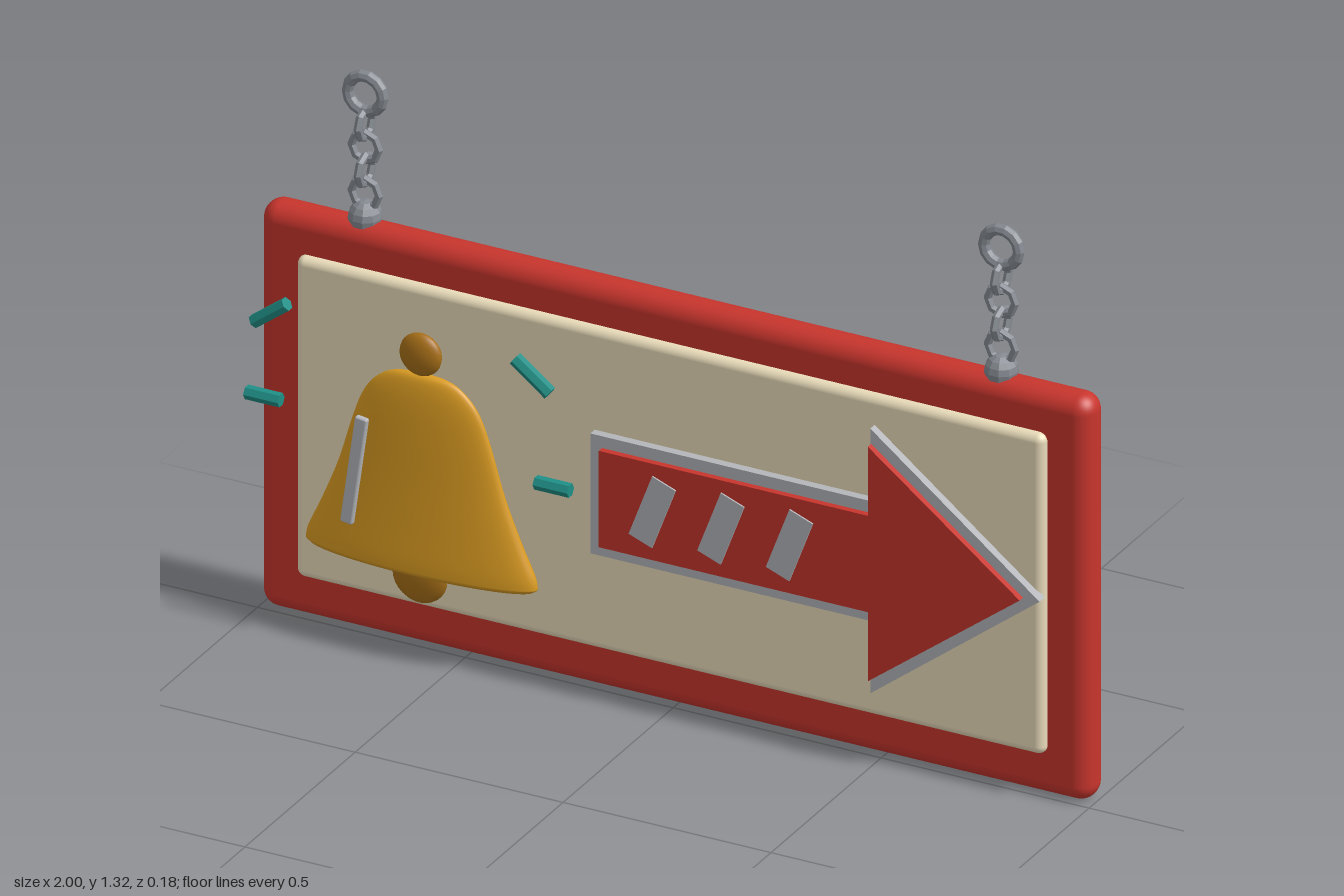
import * as THREE from 'three';
import { RoundedBoxGeometry } from 'three/addons/geometries/RoundedBoxGeometry.js';

const mat = (color, flatShading = false) => new THREE.MeshStandardMaterial({ color, flatShading });

export function createModel() {
  const root = new THREE.Group();
  const red = mat(0xc8352d), cream = mat(0xeaddbb), gold = mat(0xdb9c22), bronze = mat(0xa87018);
  const teal = mat(0x1f8f86, true), silver = mat(0xb4b6ba), steel = mat(0x858a91, true);

  const add = (name, geometry, material, x, y, z, parent = root) => {
    const mesh = new THREE.Mesh(geometry, material);
    mesh.name = name;
    mesh.position.set(x, y, z);
    parent.add(mesh);
    return mesh;
  };

  // Board and raised panel
  add('board', new RoundedBoxGeometry(2, 0.965, 0.084, 5, 0.04), red, 0, 0.4825, -0.042);
  add('panel', new RoundedBoxGeometry(1.8, 0.765, 0.05, 4, 0.02), cream, 0, 0.4875, -0.005);

  // Arrow: silver border below, red face on top
  const arrow = (name, tail, neck, tip, shaft, head, z, depth, material) => {
    const shape = new THREE.Shape([
      [tail, -shaft], [neck, -shaft], [neck, -head], [tip, 0], [neck, head], [neck, shaft], [tail, shaft],
    ].map(([x, y]) => new THREE.Vector2(x, y)));
    add(name, new THREE.ExtrudeGeometry(shape, { depth, bevelEnabled: false }), material, 0, 0.487, z);
  };
  arrow('arrowBorder', -0.178, 0.495, 0.902, 0.143, 0.316, 0.015, 0.025, silver);
  arrow('arrowFace', -0.15, 0.497, 0.862, 0.115, 0.28, 0.035, 0.02, red);
  for (let i = 0; i < 3; i++) {
    const stripe = add('arrowStripe', new THREE.BoxGeometry(0.06, 0.16, 0.012), silver, -0.02 + i * 0.165, 0.488, 0.053);
    stripe.rotation.z = -0.36;
  }

  // Bell, flattened front to back
  const bell = new THREE.Group();
  bell.name = 'bell';
  bell.position.set(-0.587, 0, 0.033);
  root.add(bell);
  const rim = [[0, 0.213], [0.268, 0.213], [0.278, 0.22]];
  const side = new THREE.SplineCurve([
    [0.278, 0.222], [0.272, 0.25], [0.24, 0.32], [0.2, 0.42], [0.17, 0.52],
    [0.145, 0.59], [0.115, 0.635], [0.07, 0.665], [0, 0.673],
  ].map(([x, y]) => new THREE.Vector2(x, y))).getPoints(28);
  side[side.length - 1].x = 0;
  const profile = [...rim.map(([x, y]) => new THREE.Vector2(x, y)), ...side];
  add('bellBody', new THREE.LatheGeometry(profile, 40), gold, 0, 0, 0, bell).scale.z = 0.19;
  add('bellKnob', new THREE.SphereGeometry(0.05, 20, 14), bronze, 0, 0.72, 0.005, bell).scale.z = 0.45;
  add('bellClapper', new THREE.SphereGeometry(0.066, 20, 14), bronze, 0, 0.196, 0.008, bell).scale.z = 0.34;
  const shine = add('bellHighlight', new RoundedBoxGeometry(0.03, 0.262, 0.015, 2, 0.005), silver, -0.72, 0.435, 0.087);
  shine.rotation.z = -0.14;

  // Ringing marks beside the bell
  for (const [x, y, length, angle] of [
    [-0.942, 0.74, 0.1, 0.65], [-0.958, 0.537, 0.083, 0],
    [-0.312, 0.74, 0.105, -0.65], [-0.262, 0.488, 0.083, 0],
  ]) {
    const mark = add('ringMark', new THREE.CylinderGeometry(0.016, 0.016, length, 6), teal, x, y, 0.05);
    mark.rotation.z = angle + Math.PI / 2;
  }

  // Hanging chains
  for (const s of [-1, 1]) {
    const chain = new THREE.Group();
    chain.name = s > 0 ? 'leftChain' : 'rightChain';
    chain.position.set(s * 0.765, 0, -0.046);
    root.add(chain);
    add('mount', new THREE.SphereGeometry(0.038, 10, 8), steel, 0, 0.97, 0, chain);
    for (let i = 0; i < 4; i++) {
      const link = add('link', new THREE.TorusGeometry(0.033, 0.0095, 6, 8), steel, 0, 1.025 + i * 0.055, 0, chain);
      link.rotation.y = (i % 2) * Math.PI / 2;
    }
    add('hangingRing', new THREE.TorusGeometry(0.042, 0.0135, 8, 14), steel, 0, 1.262, 0, chain);
  }
  return root;
}
